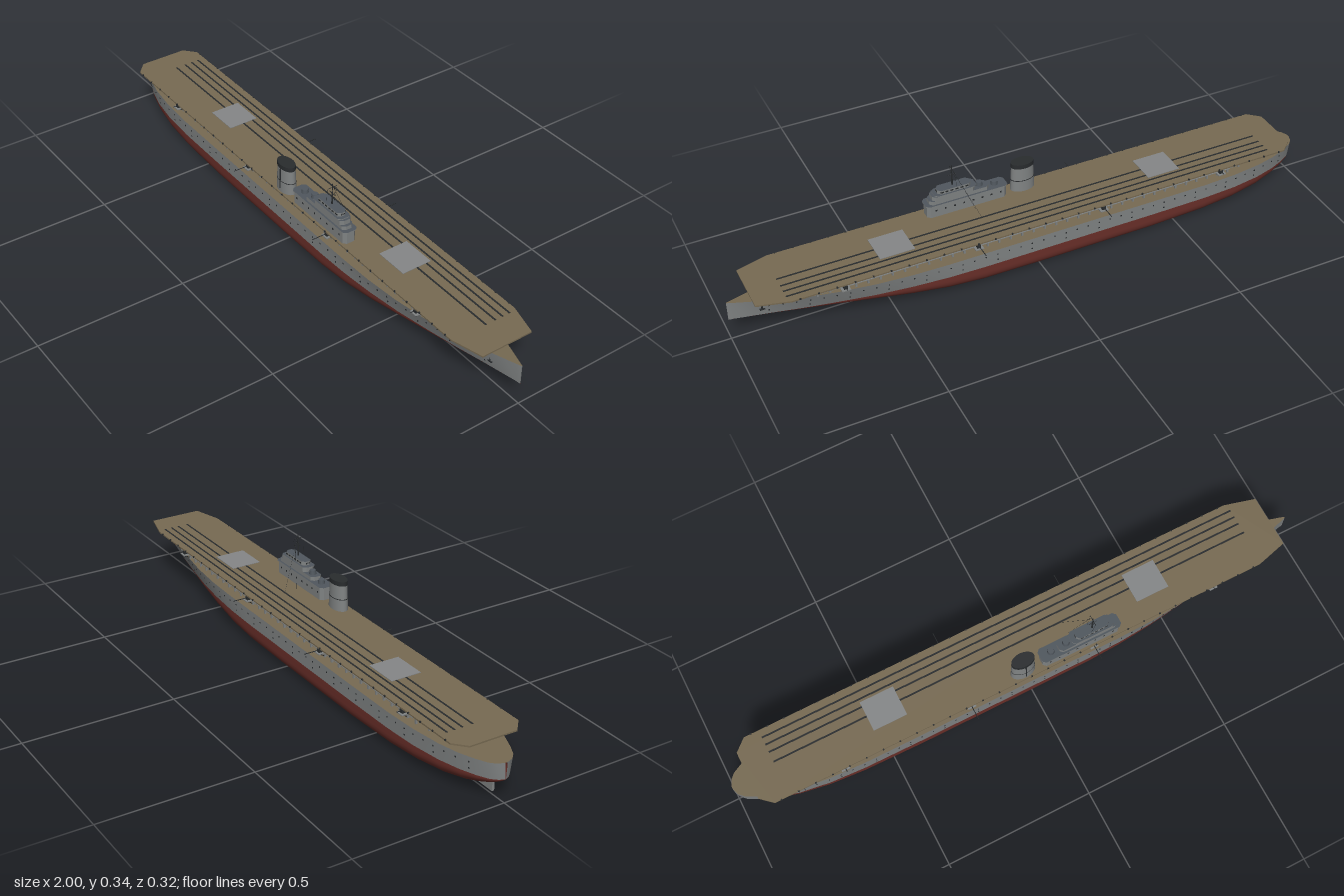
import * as THREE from 'three';
import { mergeGeometries } from 'three/addons/utils/BufferGeometryUtils.js';

export function createModel() {
  const ship = new THREE.Group();
  ship.name = 'aircraftCarrier';
  const mat = (name, color, side = THREE.FrontSide) => {
    const m = new THREE.MeshStandardMaterial({ color, side });
    m.name = name;
    return m;
  };
  const grey = mat('hullGrey', 0x808383, THREE.DoubleSide);
  const red = mat('antifoulingRed', 0x6c302a, THREE.DoubleSide);
  const wood = mat('deckBrown', 0x776a52, THREE.DoubleSide);
  const dark = mat('darkOpening', 0x292c2e, THREE.DoubleSide);
  const steel = mat('steelDeck', 0x50575e);
  const light = mat('elevatorGrey', 0x858788);

  const add = (name, geo, material, parent = ship) => {
    const m = new THREE.Mesh(geo, material);
    m.name = name;
    parent.add(m);
    return m;
  };
  const box = (x0, x1, y0, y1, z0, z1) =>
    new THREE.BoxGeometry(x1 - x0, y1 - y0, z1 - z0)
      .translate((x0 + x1) / 2, (y0 + y1) / 2, (z0 + z1) / 2);
  const rod = (a, b, r, sides = 5) => {
    const p = new THREE.Vector3(...a), q = new THREE.Vector3(...b), d = q.clone().sub(p);
    const g = new THREE.CylinderGeometry(r, r, d.length(), sides);
    g.applyQuaternion(new THREE.Quaternion().setFromUnitVectors(new THREE.Vector3(0, 1, 0), d.normalize()));
    return g.translate(...p.add(q).multiplyScalar(0.5).toArray());
  };
  // Plan outline [x, z] raised from y0 to y1; caps are group 0, sides group 1
  const prism = (pts, y0, y1) => {
    const s = new THREE.Shape(pts.map(([x, z]) => new THREE.Vector2(x, -z)));
    return new THREE.ExtrudeGeometry(s, { depth: y1 - y0, bevelEnabled: false })
      .rotateX(-Math.PI / 2).translate(0, y0, 0);
  };
  const chamfered = (x0, x1, z0, z1, cx, cz) => [
    [x0 + cx, z0], [x1 - cx, z0], [x1, z0 + cz], [x1, z1 - cz],
    [x1 - cx, z1], [x0 + cx, z1], [x0, z1 - cz], [x0, z0 + cz]];

  // Hull stations: x, half width at top, half width at waterline, keel height, fullness
  const WL = 0.076;
  const stations = [
    [-1, 0.004, 0.001, 0.075, 2], [-0.992, 0.026, 0.018, 0.068, 2], [-0.975, 0.043, 0.036, 0.057, 2],
    [-0.94, 0.061, 0.055, 0.041, 2], [-0.89, 0.081, 0.075, 0.024, 2.1], [-0.82, 0.098, 0.094, 0.011, 2.3],
    [-0.72, 0.111, 0.109, 0.004, 2.7], [-0.6, 0.117, 0.116, 0.001, 3.2], [-0.4, 0.118, 0.118, 0, 3.8],
    [0, 0.118, 0.118, 0, 3.9], [0.2, 0.118, 0.118, 0, 3.6], [0.32, 0.118, 0.115, 0.003, 3],
    [0.44, 0.115, 0.106, 0.015, 2.5], [0.56, 0.105, 0.091, 0.032, 2.1], [0.68, 0.087, 0.069, 0.047, 1.9],
    [0.78, 0.067, 0.049, 0.058, 1.7], [0.87, 0.042, 0.028, 0.067, 1.6], [0.94, 0.02, 0.013, 0.072, 1.5],
    [0.985, 0.006, 0.003, 0.075, 1.5], [1, 0.001, 0.001, 0.0755, 1.5]];
  const sheer = x => 0.13 + 0.012 * Math.max(0, (x - 0.76) / 0.24);
  const hullHalf = (x, y) => {
    let i = 1;
    while (i < stations.length - 1 && stations[i][0] < x) i++;
    const a = stations[i - 1], b = stations[i], t = (x - a[0]) / (b[0] - a[0]);
    const top = a[1] + (b[1] - a[1]) * t, wl = a[2] + (b[2] - a[2]) * t;
    return wl + (top - wl) * (y - WL) / (sheer(x) - WL);
  };
  // Skin a row of [y, z] points at every station
  const loft = section => {
    const pos = [], idx = [];
    let n = 0;
    for (const s of stations) {
      const row = section(s);
      n = row.length;
      for (const [y, z] of row) pos.push(s[0], y, z);
    }
    for (let i = 0; i < stations.length - 1; i++)
      for (let j = 0; j < n - 1; j++) {
        const a = i * n + j, b = a + n;
        idx.push(a, b, a + 1, b, b + 1, a + 1);
      }
    const g = new THREE.BufferGeometry();
    g.setAttribute('position', new THREE.Float32BufferAttribute(pos, 3));
    g.setIndex(idx);
    g.computeVertexNormals();
    return g;
  };
  add('lowerHull', loft(([, , w, k, n]) => Array.from({ length: 25 }, (_, j) => {
    const t = Math.PI * j / 24, c = Math.cos(t), s = Math.max(0, Math.sin(t));
    return [WL - (WL - k) * s ** (2 / n), -Math.sign(c) * w * Math.abs(c) ** (2 / n)];
  })), red);
  add('upperHullLeft', loft(([x, t, w]) => [[sheer(x), -t], [WL, -w]]), grey);
  add('upperHullRight', loft(([x, t, w]) => [[WL, w], [sheer(x), t]]), grey);
  add('weatherDeck', loft(([x, t]) => [[sheer(x), t], [sheer(x), -t]]), wood);
  add('rudder', box(-0.95, -0.88, 0.012, 0.05, -0.004, 0.004), grey);

  // Portholes and anchors
  const ports = [], anchors = [];
  for (const s of [-1, 1]) {
    for (let i = 0; i < 46; i++) {
      const x = -0.92 + i * 0.04;
      for (const y of [0.092, 0.113]) {
        if (y < 0.1 && i % 3) continue;
        const z = s * hullHalf(x, y);
        ports.push(box(x - 0.002, x + 0.002, y - 0.002, y + 0.002, z - 0.0015, z + 0.0015));
      }
    }
    const z = s * hullHalf(0.9, 0.108);
    anchors.push(rod([0.9, 0.1, z], [0.9, 0.116, z], 0.003), box(0.892, 0.908, 0.099, 0.103, z - 0.003, z + 0.003));
  }
  add('portholes', mergeGeometries(ports), dark);
  add('anchors', mergeGeometries(anchors), dark);

  // Hangar under the flight deck
  add('hangar', prism(chamfered(-0.79, 0.785, -0.073, 0.073, 0.04, 0.011), 0.128, 0.173), grey);
  const openings = [], frames = [], braces = [], guns = [];
  for (const s of [-1, 1]) {
    const zb = (x0, x1, y0, y1, a, b) => box(x0, x1, y0, y1, Math.min(s * a, s * b), Math.max(s * a, s * b));
    openings.push(zb(-0.7, 0.66, 0.137, 0.149, 0.072, 0.075), zb(-0.7, 0.66, 0.155, 0.169, 0.072, 0.075));
    frames.push(zb(-0.7, 0.66, 0.151, 0.153, 0.073, 0.1));
    for (let i = 0; i <= 34; i++) {
      const x = -0.7 + i * 0.04;
      frames.push(zb(x - 0.003, x + 0.003, 0.129, 0.173, 0.084, 0.09));
      if (i % 2 === 0) braces.push(rod([x, 0.157, s * 0.088], [x, 0.172, s * 0.114], 0.0012));
    }
    for (const x of [-0.75, 0.7, 0.74]) frames.push(zb(x - 0.003, x + 0.003, 0.129, 0.173, 0.073, 0.08));
    // Gun sponsons and side aerial booms
    for (const x of [-0.66, -0.22, 0.22, 0.66]) {
      const reach = Math.abs(x) < 0.5 ? 0.162 : 0.126;
      frames.push(zb(x - 0.014, x + 0.014, 0.15, 0.153, 0.085, 0.118));
      braces.push(rod([x, 0.135, s * 0.09], [x, 0.15, s * 0.114], 0.0015));
      guns.push(rod([x, 0.16, s * 0.1], [x, 0.16, s * reach], 0.0014), zb(x - 0.006, x + 0.006, 0.153, 0.164, 0.098, 0.112));
    }
  }
  add('hangarOpenings', mergeGeometries(openings), dark);
  add('galleryFrames', mergeGeometries(frames), grey);
  add('galleryBraces', mergeGeometries(braces), dark);
  add('sideGunsAndBooms', mergeGeometries(guns), dark);

  // Flight deck with lines, elevators and edge fittings
  add('flightDeck', prism([
    [-0.9, -0.118], [0.83, -0.118], [0.935, -0.09], [0.935, 0.09],
    [0.83, 0.118], [-0.9, 0.118], [-0.94, 0.082], [-0.94, -0.082]], 0.172, 0.177), wood);
  add('deckLines', mergeGeometries([-0.091, -0.065, -0.038, -0.003].map(z =>
    box(-0.85, 0.84, 0.1765, 0.178, z - 0.0028, z + 0.0028))), dark);
  for (const [name, x] of [['aftElevator', -0.472], ['forwardElevator', 0.468]])
    add(name, box(x - 0.058, x + 0.058, 0.1765, 0.179, -0.054, 0.05), light);
  const fittings = [];
  for (const s of [-1, 1]) for (let i = 0; i < 30; i++)
    fittings.push(box(-0.88 + i * 0.058, -0.875 + i * 0.058, 0.173, 0.178, s * 0.118 - 0.002, s * 0.118 + 0.002));
  add('deckEdgeFittings', mergeGeometries(fittings), dark);

  // Island superstructure
  const island = new THREE.Group();
  island.name = 'island';
  ship.add(island);
  const tiers = [
    [0.04, 0.315, 0.064, 0.11, 0.176, 0.219], [0.036, 0.319, 0.061, 0.113, 0.219, 0.222],
    [0.1, 0.305, 0.067, 0.107, 0.222, 0.235], [0.148, 0.295, 0.066, 0.108, 0.235, 0.25],
    [0.143, 0.287, 0.064, 0.11, 0.25, 0.253], [0.16, 0.275, 0.07, 0.104, 0.253, 0.266]];
  tiers.forEach(([x0, x1, z0, z1, y0, y1], i) =>
    add('islandTier' + (i + 1), prism(chamfered(x0, x1, z0, z1, 0.01, 0.01), y0, y1), [steel, grey], island));
  const panes = [];
  for (let i = 0; i < 6; i++) {
    const x = 0.172 + i * 0.017;
    panes.push(box(x, x + 0.01, 0.257, 0.262, 0.0695, 0.1045));
  }
  for (let i = 0; i < 3; i++) panes.push(box(0.1595, 0.2755, 0.257, 0.262, 0.081 + i * 0.005, 0.084 + i * 0.005));
  for (let i = 0; i < 8; i++) panes.push(box(0.06 + i * 0.032, 0.066 + i * 0.032, 0.198, 0.204, 0.0635, 0.1105));
  add('islandWindows', mergeGeometries(panes), dark, island);
  for (const x of [0.075, 0.128])
    add('director', new THREE.CylinderGeometry(0.01, 0.012, 0.014, 12).translate(x, x > 0.1 ? 0.242 : 0.228, 0.087), steel, island);

  // Mast, yards and rigging
  const mx = 0.22, mz = 0.088;
  add('mast', mergeGeometries([
    rod([mx, 0.266, mz], [mx, 0.31, mz], 0.0028, 8), rod([mx, 0.31, mz], [mx, 0.34, mz], 0.0016, 6),
    rod([mx, 0.327, mz - 0.018], [mx, 0.327, mz + 0.018], 0.001), rod([mx - 0.015, 0.305, mz], [mx + 0.015, 0.305, mz], 0.001)]), dark, island);
  add('rigging', mergeGeometries([
    rod([mx, 0.327, mz - 0.018], [mx - 0.01, 0.266, 0.073], 0.0004, 3),
    rod([mx, 0.327, mz + 0.018], [mx - 0.01, 0.266, 0.102], 0.0004, 3),
    rod([mx, 0.327, mz - 0.004], [0.16, 0.177, 0], 0.0004, 3),
    rod([mx, 0.327, mz - 0.01], [0.16, 0.177, 0.043], 0.0004, 3)]), dark, island);

  // Oval funnel with a dark cap and bands
  const funnel = new THREE.Group();
  funnel.name = 'funnel';
  ship.add(funnel);
  const oval = (name, r0, r1, y0, y1, material) =>
    add(name, new THREE.CylinderGeometry(r1, r0, y1 - y0, 28).scale(1, 1, 0.6)
      .translate(-0.025, (y0 + y1) / 2, 0.088), material, funnel);
  oval('funnelBody', 0.042, 0.038, 0.176, 0.266, grey);
  oval('funnelBand', 0.0408, 0.0406, 0.216, 0.2185, dark);
  oval('funnelCap', 0.0392, 0.039, 0.264, 0.279, dark);
  add('steamPipe', rod([-0.025, 0.19, 0.1135], [-0.025, 0.262, 0.1115], 0.0022, 6), dark, funnel);
  return ship;
}
